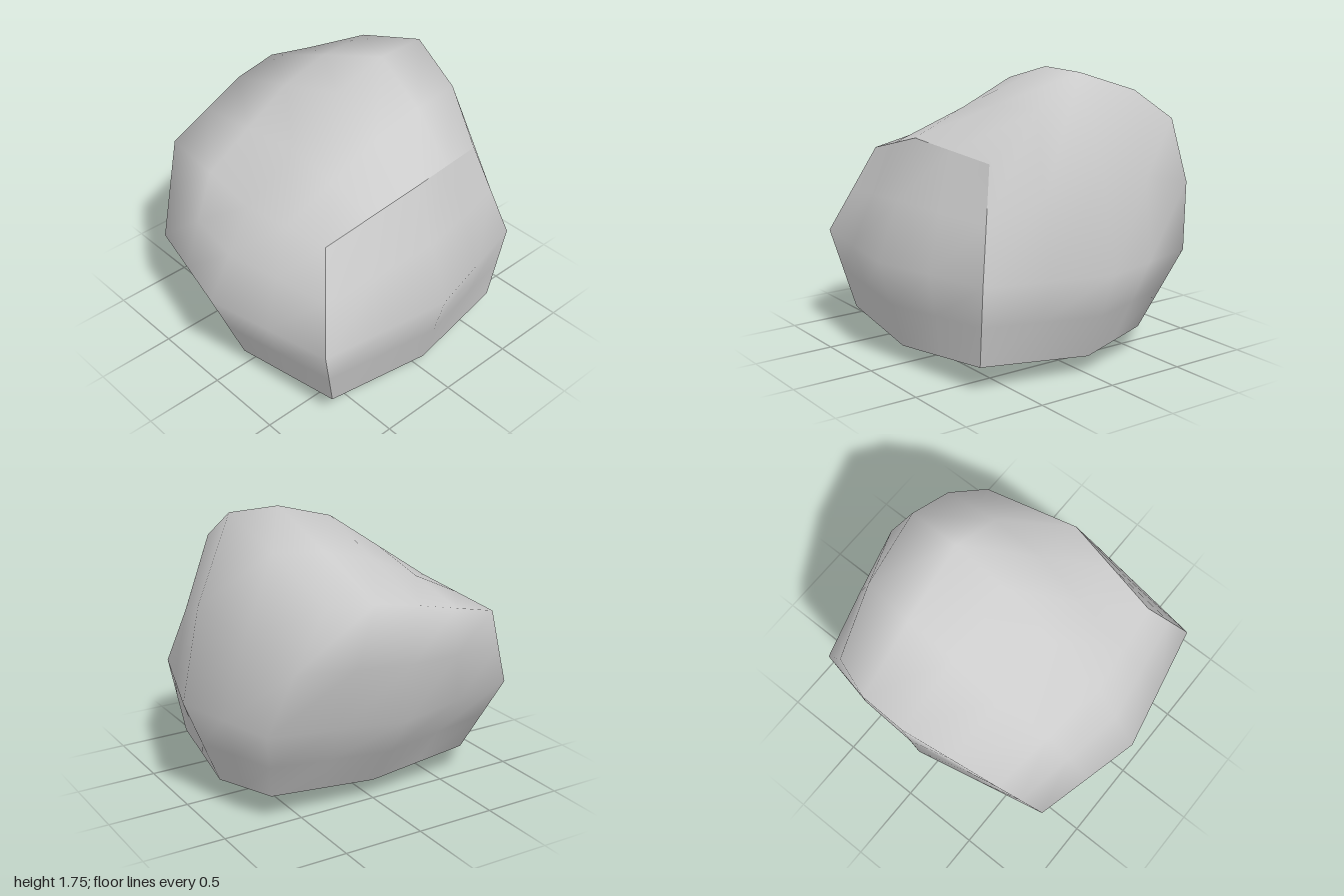
import * as THREE from 'three';
import { mergeVertices } from 'three/addons/utils/BufferGeometryUtils.js';

// Control cage of the boulder: [height layer][back, middle, front][x-, x0, x+]
const CAGE = [
  [
    [[-0.68, 0.17, -0.46], [0, 0.12, -0.5], [0.68, 0.17, -0.47]],
    [[-0.78, 0.11, 0], [0, 0, 0], [0.78, 0.11, 0]],
    [[-0.69, 0.16, 0.71], [0, 0.11, 0.78], [0.68, 0.16, 0.69]],
  ],
  [
    [[-0.83, 0.65, -0.68], [0, 0.63, -0.85], [0.82, 0.65, -0.69]],
    [[-1, 0.65, 0], [0, 0.65, 0], [1, 0.65, 0]],
    [[-0.83, 0.65, 0.81], [0, 0.65, 0.93], [0.77, 0.65, 0.73]],
  ],
  [
    [[-0.6, 1.18, -0.82], [0, 1.34, -0.93], [0.53, 1.39, -0.84]],
    [[-0.69, 1.18, 0], [0, 1.65, 0], [0.67, 1.75, 0]],
    [[-0.62, 1.19, 0.58], [0, 1.35, 0.67], [0.59, 1.28, 0.56]],
  ],
];

// Trilinear blend of the cage for a point of the cube -1..1
function cagePoint(x, y, z) {
  const out = new THREE.Vector3();
  const weight = (t, i) => Math.max(0, 1 - Math.abs(t - (i - 1)));
  for (let j = 0; j < 3; j++)
    for (let k = 0; k < 3; k++)
      for (let i = 0; i < 3; i++) {
        const w = weight(y, j) * weight(z, k) * weight(x, i);
        out.addScaledVector(new THREE.Vector3(...CAGE[j][k][i]), w);
      }
  return out;
}

export function createModel() {
  const group = new THREE.Group();
  group.name = 'boulder';

  const box = new THREE.BoxGeometry(2, 2, 2, 4, 4, 4);
  const pos = box.attributes.position;
  const facet = new Float32Array(pos.count);
  const centre = new THREE.Vector3(0, 0.8, 0);
  for (let n = 0; n < pos.count; n++) {
    const x = pos.getX(n), y = pos.getY(n), z = pos.getZ(n);
    const p = cagePoint(x, y, z);
    // Rounded shoulder around the peak, flat toward the front face
    const between = [x, y, z].some((t) => Math.abs(Math.abs(t) - 0.5) < 0.01);
    if (between && x > 0.1 && y > 0.1 && z < 0.9) {
      p.addScaledVector(p.clone().sub(centre).normalize(), 0.055);
    }
    pos.setXYZ(n, p.x, p.y, p.z);
    // Front and underside keep a crisp rim, the other sides blend together
    const side = Math.floor(n / 25);
    facet[n] = side === 4 ? 1 : side === 3 ? 2 : 0;
  }

  box.deleteAttribute('uv');
  box.deleteAttribute('normal');
  box.setAttribute('facet', new THREE.BufferAttribute(facet, 1));
  box.clearGroups();
  const geometry = mergeVertices(box, 1e-4);
  geometry.deleteAttribute('facet');
  geometry.computeVertexNormals();

  const rock = new THREE.Mesh(geometry, new THREE.MeshStandardMaterial({ color: 0xcccccc }));
  rock.name = 'rock';
  group.add(rock);
  return group;
}
